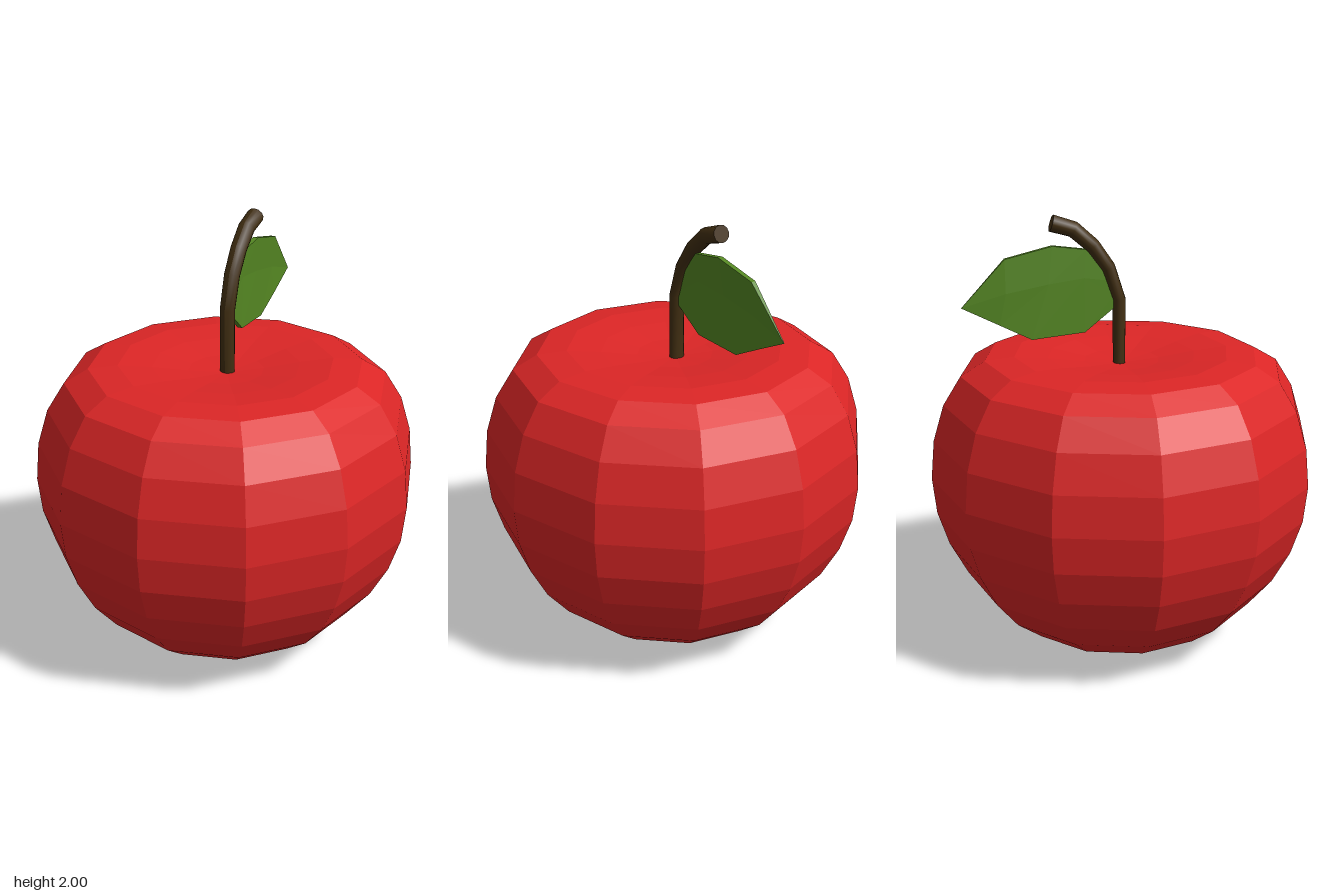
import * as THREE from 'three';

const red = new THREE.MeshStandardMaterial({ color: 0xdc2626 });
red.name = 'apple red';
const brown = new THREE.MeshStandardMaterial({ color: 0x422f12 });
brown.name = 'stem brown';
const green = new THREE.MeshStandardMaterial({ color: 0x558823 });
green.name = 'leaf green';

// Gives every triangle its own flat normal
function faceted(geometry) {
  const flat = geometry.toNonIndexed();
  flat.computeVertexNormals();
  return flat;
}

// Twelve-sided body; ring radii follow a sphere, heights dip at the crown
function makeBody() {
  const heights = [0.005, 0.022, 0.04, 0.095, 0.2, 0.335, 0.49, 0.65, 0.82,
    1.0, 1.165, 1.295, 1.36, 1.372, 1.358, 1.335, 1.32];
  const last = heights.length - 1;
  const profile = heights.map((y, i) => {
    const r = i === 0 || i === last ? 0 : 0.88 * Math.sin((i / last) * Math.PI);
    return new THREE.Vector2(r, y);
  });
  const mesh = new THREE.Mesh(faceted(new THREE.LatheGeometry(profile, 12)), red);
  mesh.name = 'appleBody';
  return mesh;
}

// Tapered cylinder bent backwards along a path
function makeStem() {
  // centre height and depth of each ring
  const path = [[1.29, -0.012], [1.615, -0.012], [1.76, -0.06],
    [1.86, -0.13], [1.935, -0.215], [1.965, -0.312]];
  const n = path.length - 1;
  const geometry = new THREE.CylinderGeometry(1, 1, 1, 12, n);
  const pos = geometry.attributes.position;
  for (let v = 0; v < pos.count; v++) {
    const i = Math.round((pos.getY(v) + 0.5) * n);
    const a = path[Math.max(i - 1, 0)], b = path[Math.min(i + 1, n)];
    const angle = Math.atan2(b[1] - a[1], b[0] - a[0]);
    const across = pos.getZ(v) * (0.028 + 0.01 * i / n);
    pos.setXYZ(v,
      pos.getX(v) * (0.034 + 0.006 * i / n),
      path[i][0] - across * Math.sin(angle),
      path[i][1] + across * Math.cos(angle));
  }
  geometry.computeVertexNormals();
  const mesh = new THREE.Mesh(geometry, brown);
  mesh.name = 'stem';
  return mesh;
}

// Thin solid leaf, shaped station by station from stem to tip
function makeLeaf() {
  // each station: top, midrib and bottom as [x, y, z]
  const stations = [
    [[0, 1.70, -0.04], [0, 1.64, -0.035], [0, 1.58, -0.035]],
    [[0.003, 1.845, -0.16], [-0.006, 1.72, -0.17], [-0.01, 1.475, -0.17]],
    [[0.003, 1.865, -0.31], [-0.012, 1.70, -0.33], [-0.02, 1.455, -0.41]],
    [[0.002, 1.815, -0.52], [-0.012, 1.665, -0.52], [-0.012, 1.525, -0.55]],
    [[0, 1.605, -0.715], [0, 1.605, -0.715], [0, 1.605, -0.715]],
  ];
  const halfThickness = [0.012, 0.012, 0.012, 0.011, 0.002];
  const geometry = new THREE.BoxGeometry(2, 1, 1, 1, 2, 4);
  const pos = geometry.attributes.position;
  for (let v = 0; v < pos.count; v++) {
    const i = Math.round((0.5 - pos.getZ(v)) * 4);
    const j = Math.round((0.5 - pos.getY(v)) * 2);
    const [x, y, z] = stations[i][j];
    pos.setXYZ(v, x + pos.getX(v) * halfThickness[i], y, z);
  }
  const mesh = new THREE.Mesh(faceted(geometry), green);
  mesh.name = 'leaf';
  return mesh;
}

export function createModel() {
  const model = new THREE.Group();
  model.name = 'apple';
  model.add(makeBody(), makeStem(), makeLeaf());
  return model;
}
